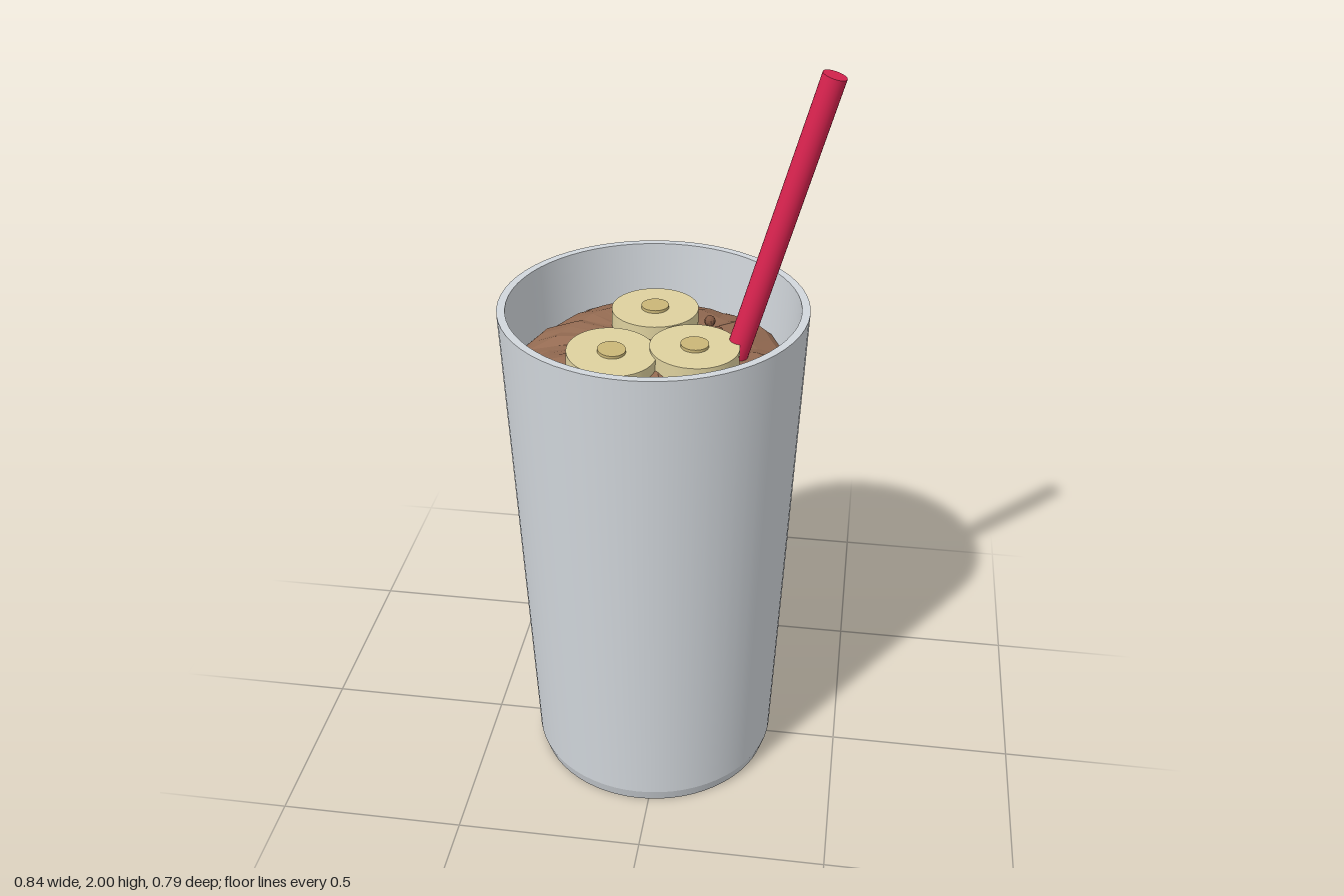
import * as THREE from 'three';

const mat = (name, color, extra = {}) => {
  const m = new THREE.MeshStandardMaterial({ color, ...extra });
  m.name = name;
  return m;
};

export function createModel() {
  const grey = mat('cup grey', 0xd2d7dc);
  const red = mat('straw red', 0xd9234f);
  const brown = mat('drink brown', 0x946b52, { flatShading: true });
  const darkBrown = mat('crumb brown', 0x805842, { flatShading: true });
  const cream = mat('slice cream', 0xded19e);
  const tan = mat('slice core tan', 0xcab677);

  const model = new THREE.Group();
  const add = (name, geometry, material, x, y, z, parent = model) => {
    const mesh = new THREE.Mesh(geometry, material);
    mesh.name = name;
    mesh.position.set(x, y, z);
    parent.add(mesh);
    return mesh;
  };
  const CX = -0.03; // cup axis

  // Cup: separate lathes per profile section keep the edges crisp
  const cup = new THREE.Group();
  cup.name = 'cup';
  cup.position.x = CX;
  model.add(cup);
  const sections = {
    cupBase: [[0, 0], [0.327, 0]],
    cupBevel: [[0.327, 0], [0.338, 0.035]],
    cupWall: [[0.338, 0.035], [0.395, 1.38]],
    cupRim: [[0.395, 1.38], [0.374, 1.38]],
    cupInside: [[0.374, 1.38], [0.32, 0.04]],
    cupFloor: [[0.32, 0.04], [0, 0.04]],
  };
  for (const [name, pts] of Object.entries(sections)) {
    add(name, new THREE.LatheGeometry(pts.map(p => new THREE.Vector2(...p)), 64), grey, 0, 0, 0, cup);
  }

  // Drink: a low mound with uneven radial folds
  const profile = [[0.322, 0.05], [0.364, 1.195], [0.34, 1.215], [0.27, 1.24], [0.14, 1.255], [0, 1.26]]
    .map(p => new THREE.Vector2(...p));
  const N = 56;
  const drinkGeo = new THREE.LatheGeometry(profile, N);
  const pos = drinkGeo.attributes.position;
  const noise = k => { const s = Math.sin(k * 12.9898) * 43758.5453; return s - Math.floor(s) - 0.5; };
  for (let i = 0; i < pos.count; i++) {
    const ring = i % profile.length;
    const step = Math.floor(i / profile.length) % N;
    if (ring === 0 || ring === profile.length - 1) continue;
    const a = step / N * Math.PI * 2;
    const fold = 0.007 * Math.sin(5 * a + 1) + 0.006 * Math.sin(9 * a) + 0.012 * noise(step + 1 + ring * 0.01);
    pos.setY(i, pos.getY(i) + fold * (ring === 4 ? 0.5 : 1));
    if (ring === 2 || ring === 3) {
      const k = 1 + 0.05 * noise(step * 3 + ring * 71);
      pos.setX(i, pos.getX(i) * k);
      pos.setZ(i, pos.getZ(i) * k);
    }
  }
  drinkGeo.computeVertexNormals();
  add('drink', drinkGeo, brown, CX, 0, 0);

  // Floating fruit slices, each with a raised core
  const sliceGeo = new THREE.CylinderGeometry(0.114, 0.114, 0.06, 48);
  const coreGeo = new THREE.CylinderGeometry(0.036, 0.036, 0.02, 32);
  [
    [-0.047, 1.272, -0.141, 0, 0],
    [0.082, 1.27, 0.054, 0.02, -0.02],
    [-0.121, 1.27, 0.111, 0.06, -0.06],
  ].forEach(([x, y, z, rx, rz], i) => {
    const slice = new THREE.Group();
    slice.name = `fruitSlice${i + 1}`;
    slice.position.set(x, y, z);
    slice.rotation.set(rx, 0, rz);
    model.add(slice);
    add('sliceDisc', sliceGeo, cream, 0, 0, 0, slice);
    add('sliceCore', coreGeo, tan, 0, 0.028, 0, slice);
  });

  // Small round crumbs
  const crumbGeo = new THREE.SphereGeometry(0.015, 10, 8);
  [[0.095, 1.258, -0.17], [0.123, 1.256, -0.114], [-0.04, 1.272, 0.014]]
    .forEach((p, i) => add(`crumb${i + 1}`, crumbGeo, darkBrown, ...p));

  // Straw leaning towards the left
  const lean = 0.275, length = 1.6;
  const straw = add('straw', new THREE.CylinderGeometry(0.03, 0.03, length, 24), red,
    0.391 - Math.sin(lean) * length / 2, 1.992 - Math.cos(lean) * length / 2, 0);
  straw.rotation.z = -lean;

  return model;
}
